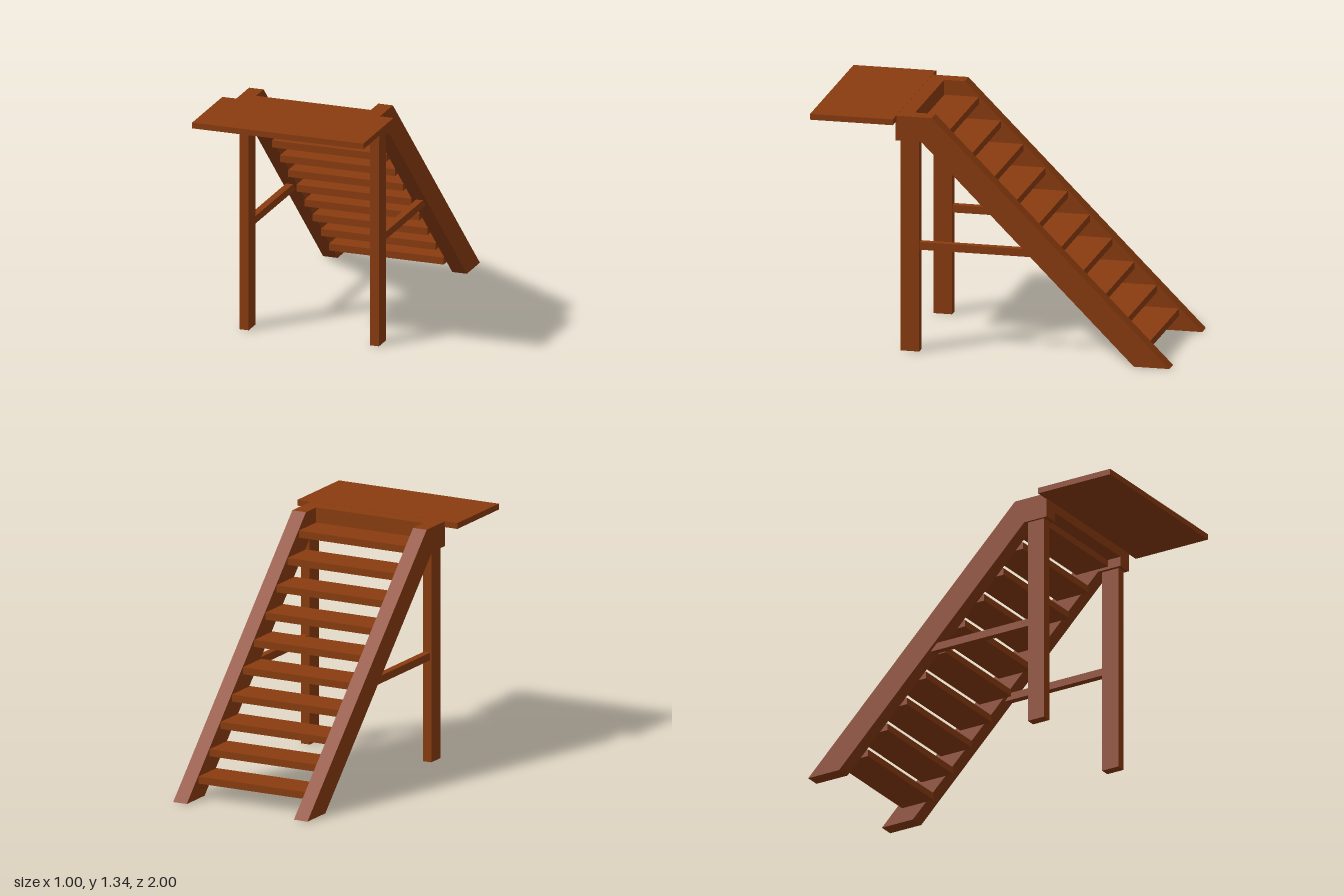
import * as THREE from 'three';

const wood = new THREE.MeshStandardMaterial({ color: 0x8a3c0f, flatShading: true });

// Box given by its [min, max] extents on each axis
function board(name, [x0, x1], [y0, y1], [z0, z1]) {
  const mesh = new THREE.Mesh(new THREE.BoxGeometry(x1 - x0, y1 - y0, z1 - z0), wood);
  mesh.position.set((x0 + x1) / 2, (y0 + y1) / 2, (z0 + z1) / 2);
  mesh.name = name;
  return mesh;
}

// Side profile as [z, y] points, extruded across x from x0 to x1
function stringer(name, x0, x1) {
  const profile = [[-1, 0], [-0.8, 0], [0.395, 1.195], [0.54, 1.195], [0.54, 1.335], [0.335, 1.335]];
  const shape = new THREE.Shape(profile.map(([z, y]) => new THREE.Vector2(-z, y)));
  const geometry = new THREE.ExtrudeGeometry(shape, { depth: x1 - x0, bevelEnabled: false });
  geometry.rotateY(Math.PI / 2);
  const mesh = new THREE.Mesh(geometry, wood);
  mesh.position.x = x0;
  mesh.name = name;
  return mesh;
}

export function createModel() {
  const group = new THREE.Group();
  group.name = 'openStaircase';

  // Sloping side beams, support posts and horizontal braces
  for (const [label, side] of [['left', 1], ['right', -1]]) {
    const span = (a, b) => (side > 0 ? [a, b] : [-b, -a]);
    group.add(
      stringer(label + 'Stringer', ...span(0.335, 0.42)),
      board(label + 'Post', span(0.354, 0.407), [0, 1.195], [0.41, 0.515]),
      board(label + 'Brace', span(0.36, 0.4), [0.577, 0.62], [-0.22, 0.41])
    );
  }

  // Treads climbing towards the front
  const pitch = 0.125;
  for (let i = 0; i < 10; i++) {
    const top = pitch * (i + 1), back = -0.87 + pitch * i;
    group.add(board('tread' + (i + 1), [-0.335, 0.335], [top - 0.04, top], [back, back + 0.203]));
  }

  // Landing and the header that joins it to the stairs
  group.add(
    board('header', [-0.335, 0.335], [1.25, 1.335], [0.45, 0.54]),
    board('landing', [-0.5, 0.5], [1.303, 1.336], [0.535, 1])
  );
  return group;
}
